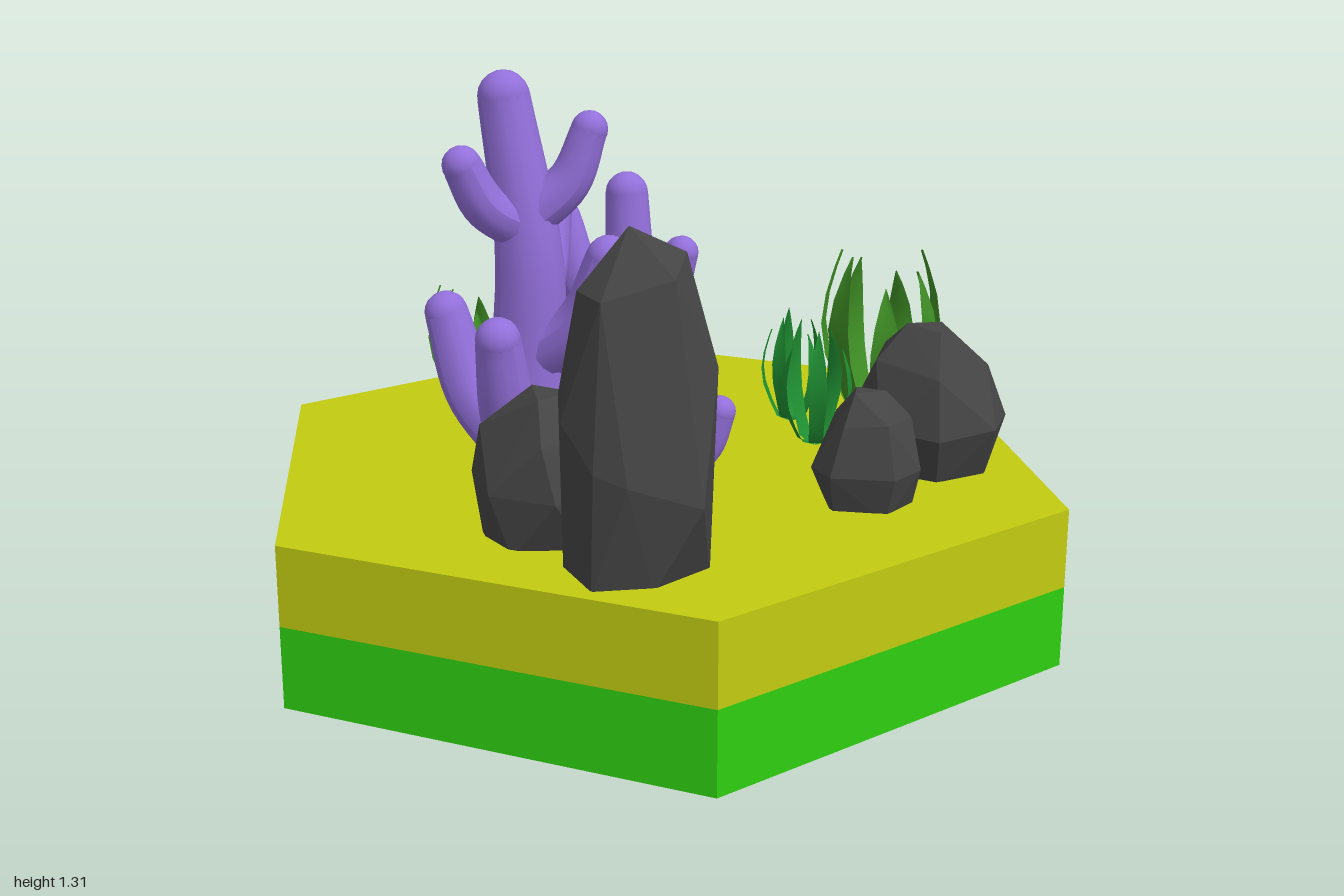
import * as THREE from 'three';
import { mergeGeometries } from 'three/addons/utils/BufferGeometryUtils.js';
import { ConvexGeometry } from 'three/addons/geometries/ConvexGeometry.js';

const GROUND = 0.375;
const V = (p) => new THREE.Vector3(...p);
const mat = (color, opts = {}) => new THREE.MeshStandardMaterial({ color, ...opts });
const sand = mat(0xc2cc10), soil = mat(0x2fd010);
const stone = mat(0x444444, { flatShading: true });
const purple = mat(0x9370db);
const leaf = mat(0x3f8f25, { side: THREE.DoubleSide });
const leafBright = mat(0x1f8f32, { side: THREE.DoubleSide });

function add(parent, name, geometry, material) {
  const mesh = new THREE.Mesh(geometry, material);
  mesh.name = name;
  parent.add(mesh);
  return mesh;
}

function seeded(seed) {
  let s = seed * 7919 + 17;
  return () => ((s = (s * 16807) % 2147483647) / 2147483647);
}

// Faceted boulder: convex hull of jittered rings
function boulder(x, z, rx, rz, h, seed) {
  const rnd = seeded(seed);
  rnd();
  const points = [];
  const rings = [[0, 0.82, 6], [0.38, 1.02, 7], [0.76, 0.8, 5], [1, 0.36, 3]];
  rings.forEach(([fy, fr, n], k) => {
    const turn = rnd() * 6;
    for (let i = 0; i < n; i++) {
      const a = turn + ((i + (rnd() - 0.5) * 0.4) / n) * Math.PI * 2;
      const r = fr * (0.94 + rnd() * 0.1);
      const y = k === 0 ? -0.02 : h * (fy - rnd() * 0.08);
      points.push(V([x + rx * r * Math.cos(a), GROUND + y, z + rz * r * Math.sin(a)]));
    }
  });
  return new ConvexGeometry(points);
}

// Tapered tube with a round tip
function branch(path, r0, r1) {
  const curve = new THREE.CatmullRomCurve3(path.map(V));
  const rows = 14, sides = 14;
  const tube = new THREE.TubeGeometry(curve, rows, 1, sides, false);
  const pos = tube.attributes.position, v = new THREE.Vector3();
  for (let i = 0; i <= rows; i++) {
    const c = curve.getPointAt(i / rows);
    const r = r0 + (r1 - r0) * (i / rows);
    for (let j = 0; j <= sides; j++) {
      const k = i * (sides + 1) + j;
      v.fromBufferAttribute(pos, k).sub(c).multiplyScalar(r).add(c);
      pos.setXYZ(k, v.x, v.y, v.z);
    }
  }
  tube.computeVertexNormals();
  const tip = new THREE.SphereGeometry(r1, 14, 10).translate(...path[path.length - 1]);
  return mergeGeometries([tube, tip]);
}

// Coral: a trunk, then limbs that leave it at a root and bend upward to a tip
function coral(trunk, r0, r1, limbs) {
  const parts = [branch(trunk, r0, r1)];
  for (const [root, tip, a, b] of limbs) {
    const mid = [0, 1, 2].map((i) => root[i] + (tip[i] - root[i]) * (i === 1 ? 0.4 : 0.66));
    parts.push(branch([root, mid, tip], a, b));
  }
  return mergeGeometries(parts);
}

// Grass tuft: pointed blades that leave the centre, bow outward and close at the top
function tuft(x, z, R, h, count, turn) {
  const blades = [];
  const profile = [ // height, distance out, width
    [0, 0.05, 0.3], [0.05, 0.45, 0.42], [0.2, 0.68, 0.42], [0.4, 0.92, 0.5],
    [0.58, 1, 0.5], [0.75, 0.94, 0.38], [0.9, 0.82, 0.18], [1, 0.72, 0.01]];
  for (let i = 0; i < count; i++) {
    const blade = new THREE.PlaneGeometry(1, 1, 2, profile.length - 1);
    const pos = blade.attributes.position;
    const tall = h * (1 - 0.16 * ((i * 2) % 3) / 2);
    profile.forEach(([fy, out, w], row) => {
      for (let c = 0; c < 3; c++) {
        const fold = c === 1 ? 0.04 * R : 0;
        pos.setXYZ(row * 3 + c, (c - 1) * w * R * 0.5, fy * tall, out * R - fold);
      }
    });
    blade.computeVertexNormals();
    blade.rotateY(turn + (i / count) * Math.PI * 2);
    blades.push(blade);
  }
  return mergeGeometries(blades).translate(x, GROUND, z);
}

export function createModel() {
  const model = new THREE.Group();
  model.name = 'reefTile';

  // Hexagonal tile in two layers
  const layer = (y0, y1) =>
    new THREE.CylinderGeometry(1, 1, y1 - y0, 6).toNonIndexed().translate(0, (y0 + y1) / 2, 0);
  add(model, 'lowerLayer', layer(0, 0.19), soil);
  add(model, 'sandLayer', layer(0.19, GROUND), sand);

  // Rocks
  const rocks = new THREE.Group();
  rocks.name = 'rocks';
  model.add(rocks);
  add(rocks, 'tallRock', new ConvexGeometry([
    [0.39, 0.36, 0.5], [0.4, 0.36, 0.32], [0.5, 0.36, 0.26], [0.64, 0.36, 0.34],
    [0.66, 0.36, 0.5], [0.6, 0.36, 0.61], [0.46, 0.36, 0.58],
    [0.72, 0.54, 0.42], [0.67, 0.6, 0.57], [0.61, 0.62, 0.61], [0.5, 0.7, 0.61],
    [0.37, 0.7, 0.42], [0.39, 0.72, 0.54], [0.45, 0.84, 0.26], [0.65, 0.8, 0.33],
    [0.46, 1.065, 0.41], [0.64, 0.99, 0.43], [0.56, 1.02, 0.34], [0.57, 0.95, 0.56],
    [0.46, 0.95, 0.54]].map(V)), stone);
  [
    [0.26, 0.485, 0.185, 0.165, 0.32, 3],
    [0.44, -0.48, 0.19, 0.17, 0.35, 5],
    [0.54, -0.19, 0.12, 0.13, 0.26, 8],
    [-0.63, -0.155, 0.14, 0.14, 0.27, 11],
    [-0.5, -0.335, 0.1, 0.095, 0.17, 14],
  ].forEach((r, i) => add(rocks, 'boulder' + (i + 1), boulder(...r), stone));

  // Corals
  const corals = new THREE.Group();
  corals.name = 'corals';
  model.add(corals);
  add(corals, 'largeCoral', coral(
    [[-0.11, 0.36, 0.28], [-0.11, 0.6, 0.28], [-0.09, 0.9, 0.29], [-0.135, 1.25, 0.32]], 0.105, 0.06, [
      [[-0.09, 0.98, 0.29], [0.0, 1.18, 0.18], 0.06, 0.042],
      [[-0.09, 0.95, 0.29], [-0.11, 1.11, 0.45], 0.06, 0.045],
      [[-0.1, 0.76, 0.28], [-0.235, 0.97, 0.13], 0.065, 0.052],
      [[-0.1, 0.64, 0.28], [0.085, 0.9, 0.19], 0.07, 0.052],
      [[-0.12, 0.42, 0.3], [-0.28, 0.73, 0.4], 0.08, 0.052],
      [[-0.1, 0.42, 0.3], [0.0, 0.73, 0.435], 0.08, 0.052],
      [[-0.1, 0.42, 0.28], [0.05, 0.54, 0.25], 0.07, 0.045],
    ]), purple);
  add(corals, 'mediumCoral', coral(
    [[-0.19, 0.36, -0.09], [-0.19, 0.6, -0.08], [-0.22, 0.97, -0.085]], 0.08, 0.052, [
      [[-0.19, 0.62, -0.08], [-0.07, 0.84, -0.14], 0.055, 0.04],
      [[-0.19, 0.58, -0.08], [-0.16, 0.82, -0.2], 0.055, 0.035],
      [[-0.19, 0.6, -0.08], [-0.345, 0.9, 0.02], 0.06, 0.045],
      [[-0.19, 0.42, -0.09], [-0.315, 0.54, -0.22], 0.06, 0.045],
      [[-0.19, 0.45, -0.08], [-0.16, 0.63, 0.03], 0.06, 0.042],
    ]), purple);
  add(corals, 'smallCoral', coral(
    [[0.18, 0.36, 0.07], [0.18, 0.48, 0.07], [0.17, 0.61, 0.08]], 0.055, 0.042, [
      [[0.18, 0.42, 0.07], [0.1, 0.57, -0.015], 0.045, 0.036],
      [[0.18, 0.4, 0.07], [0.265, 0.55, 0.01], 0.045, 0.036],
      [[0.18, 0.4, 0.07], [0.235, 0.57, 0.155], 0.045, 0.036],
    ]), purple);

  // Sea grass
  const grass = new THREE.Group();
  grass.name = 'seaGrass';
  model.add(grass);
  [
    [0.14, -0.61, 0.145, 0.44, 7, 0, leaf],
    [0.0, -0.44, 0.075, 0.28, 5, 0.4, leafBright],
    [0.18, -0.36, 0.085, 0.3, 5, 0.9, leafBright],
    [-0.62, 0.125, 0.11, 0.315, 7, 0.3, leaf],
    [-0.46, 0.03, 0.06, 0.235, 5, 0.6, leafBright],
    [-0.475, 0.18, 0.06, 0.235, 5, 0.1, leafBright],
  ].forEach(([x, z, R, h, n, turn, m], i) => add(grass, 'grassTuft' + (i + 1), tuft(x, z, R, h, n, turn), m));

  // Flat faces on the tile layers
  for (const name of ['lowerLayer', 'sandLayer']) model.getObjectByName(name).geometry.computeVertexNormals();
  return model;
}
